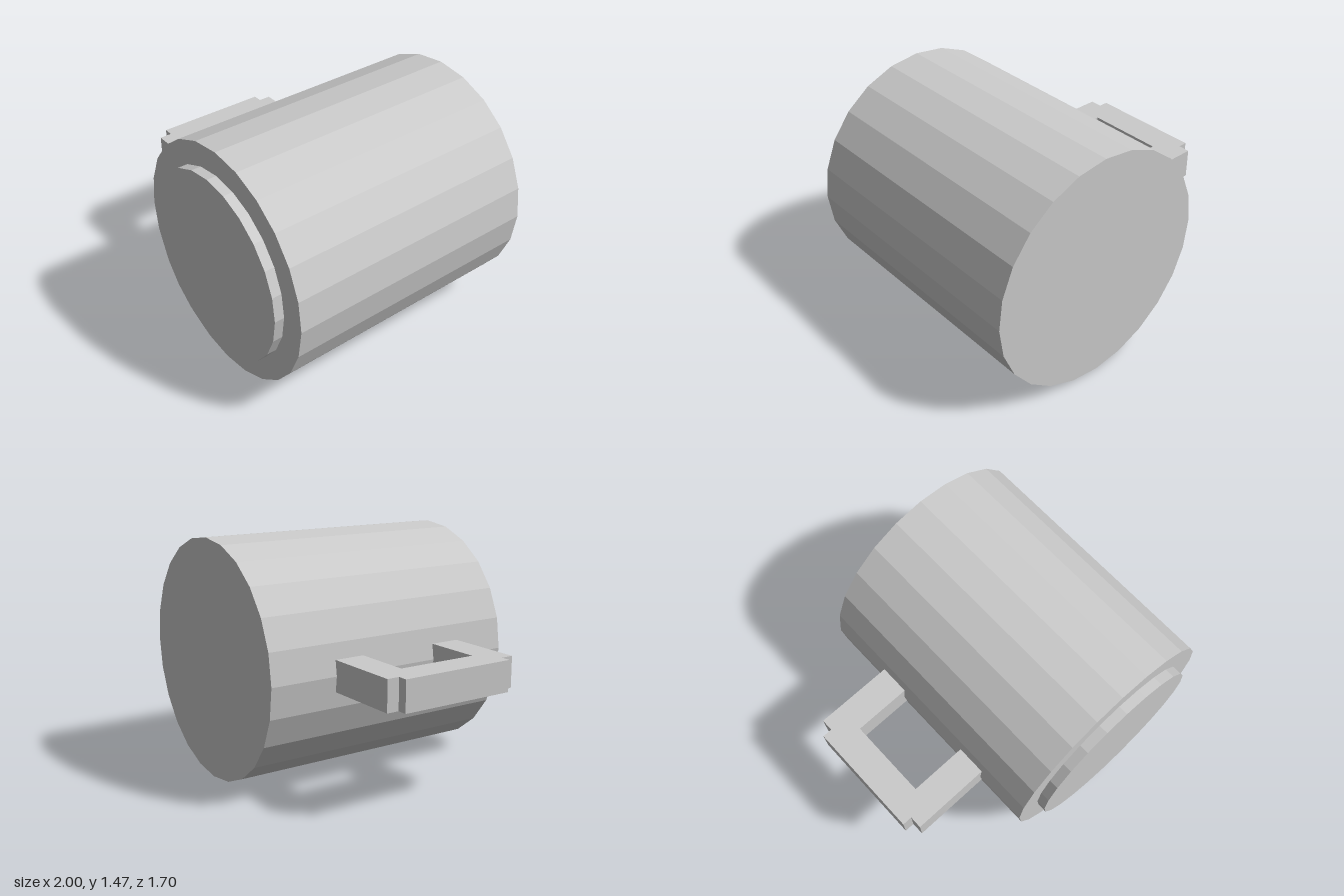
import * as THREE from 'three';

const SIDES = 24;
const AXIS_X = 0.267, AXIS_Y = 0.733;

export function createModel() {
  const group = new THREE.Group();
  const material = new THREE.MeshStandardMaterial({ color: 0xcccccc, flatShading: true });

  const add = (name, geometry) => {
    const mesh = new THREE.Mesh(geometry, material);
    mesh.name = name;
    group.add(mesh);
    return mesh;
  };

  // Solid drum lying along z, between two depths
  const drum = (name, radius, zBack, zFront) => {
    const geometry = new THREE.CylinderGeometry(radius, radius, zFront - zBack, SIDES);
    geometry.rotateX(Math.PI / 2);
    add(name, geometry).position.set(AXIS_X, AXIS_Y, (zBack + zFront) / 2);
  };

  drum('body', 0.733, -0.85, 0.787);
  drum('frontDisc', 0.585, 0.787, 0.847);

  // Handle: stepped C outline in x and z, its arms sunk slightly into the body
  const root = -0.42;
  const outline = [
    [root, -0.43], [-0.94, -0.43], [-0.94, -0.355], [-1, -0.355],
    [-1, 0.37], [-0.94, 0.37], [-0.94, 0.447], [root, 0.447],
    [root, 0.262], [-0.81, 0.262], [-0.81, -0.242], [root, -0.242],
  ].map(([x, z]) => new THREE.Vector2(x, z));
  const height = 0.187;
  const handle = new THREE.ExtrudeGeometry(new THREE.Shape(outline), { depth: height, bevelEnabled: false });
  handle.rotateX(Math.PI / 2);
  add('handle', handle).position.y = AXIS_Y + height / 2;

  return group;
}
